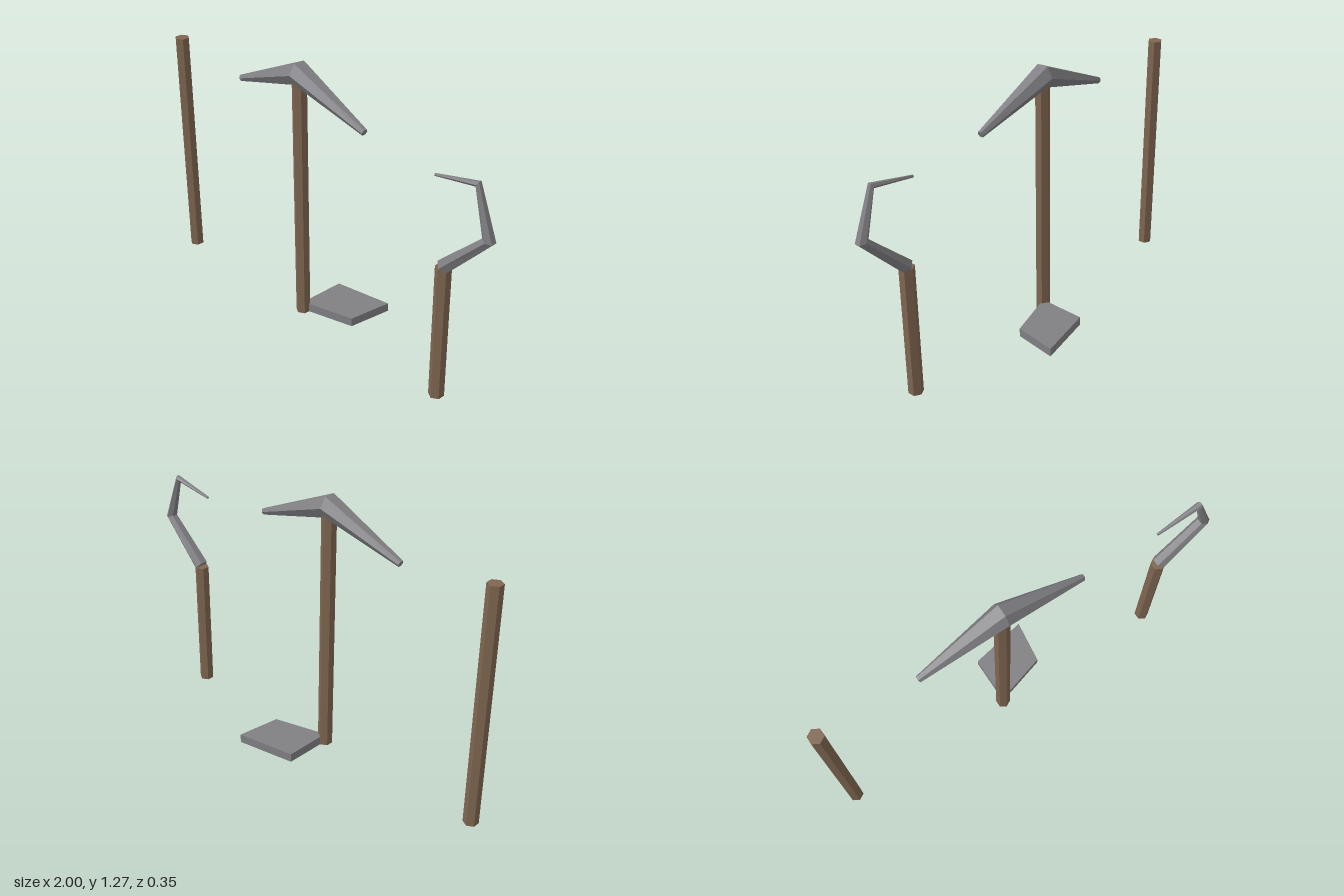
import * as THREE from 'three';

const Z = 0.115; // shared depth of all handles
const wood = new THREE.MeshStandardMaterial({ color: 0x7f6650, flatShading: true });
const metal = new THREE.MeshStandardMaterial({ color: 0x808084, flatShading: true });

function add(parent, name, geometry, material) {
  const mesh = new THREE.Mesh(geometry, material);
  mesh.name = name;
  parent.add(mesh);
  return mesh;
}

// Six-sided upright pole standing on the ground
function addHandle(parent, name, x, height) {
  const geometry = new THREE.CylinderGeometry(0.035, 0.035, height, 6);
  add(parent, name, geometry, wood).position.set(x, height / 2, Z);
}

// Tapered six-sided bar through [x, y, radius] stations, mitred at the bends
function taperedBar(stations) {
  const points = stations.map(([x, y]) => new THREE.Vector2(x, y));
  const last = points.length - 1;
  const direction = (i) => points[i + 1].clone().sub(points[i]).normalize();
  const positions = [];
  const index = [];
  stations.forEach(([x, y, r], i) => {
    const t = new THREE.Vector2();
    if (i > 0) t.add(direction(i - 1));
    if (i < last) t.add(direction(i));
    t.normalize();
    for (let k = 0; k < 6; k++) {
      const a = (k + 0.5) * Math.PI / 3;
      const n = r * Math.cos(a);
      positions.push(x - t.y * n, y + t.x * n, Z + r * Math.sin(a));
    }
  });
  for (let i = 0; i < last; i++) {
    for (let k = 0; k < 6; k++) {
      const a = i * 6 + k;
      const b = i * 6 + (k + 1) % 6;
      index.push(a, b, b + 6, a, b + 6, a + 6);
    }
  }
  // End caps
  const e = last * 6;
  for (let k = 1; k < 5; k++) index.push(0, k + 1, k, e, e + k, e + k + 1);
  const indexed = new THREE.BufferGeometry();
  indexed.setAttribute('position', new THREE.Float32BufferAttribute(positions, 3));
  indexed.setIndex(index);
  const geometry = indexed.toNonIndexed();
  geometry.computeVertexNormals();
  return geometry;
}

export function createModel() {
  const model = new THREE.Group();
  model.name = 'handTools';

  // Plain pole
  addHandle(model, 'plainPole', -0.97, 1.155);

  // Pickaxe with a head that slopes down both ways
  const pickaxe = new THREE.Group();
  pickaxe.name = 'pickaxe';
  addHandle(pickaxe, 'pickaxeHandle', -0.107, 1.19);
  add(pickaxe, 'pickaxeHead', taperedBar([
    [-0.51, 1.083, 0.016], [-0.107, 1.226, 0.056], [0.296, 1.083, 0.016],
  ]), metal);
  model.add(pickaxe);

  // Flat four-cornered blade at the foot of the pickaxe
  const outline = new THREE.Shape([
    [-0.107, -0.115], [0.152, -0.04], [0.18, 0.175], [-0.107, 0.12],
  ].map(([x, y]) => new THREE.Vector2(x, y)));
  const plate = new THREE.ExtrudeGeometry(outline, { depth: 0.043, bevelEnabled: false });
  plate.rotateX(-Math.PI / 2);
  add(model, 'flatBlade', plate, metal);

  // Sickle with a hooked, tapering blade
  const sickle = new THREE.Group();
  sickle.name = 'sickle';
  addHandle(sickle, 'sickleHandle', 0.757, 0.65);
  add(sickle, 'sickleBlade', taperedBar([
    [0.76, 0.655, 0.035], [0.974, 0.866, 0.028], [0.903, 1.083, 0.016], [0.688, 1.04, 0.006],
  ]), metal);
  model.add(sickle);

  return model;
}
